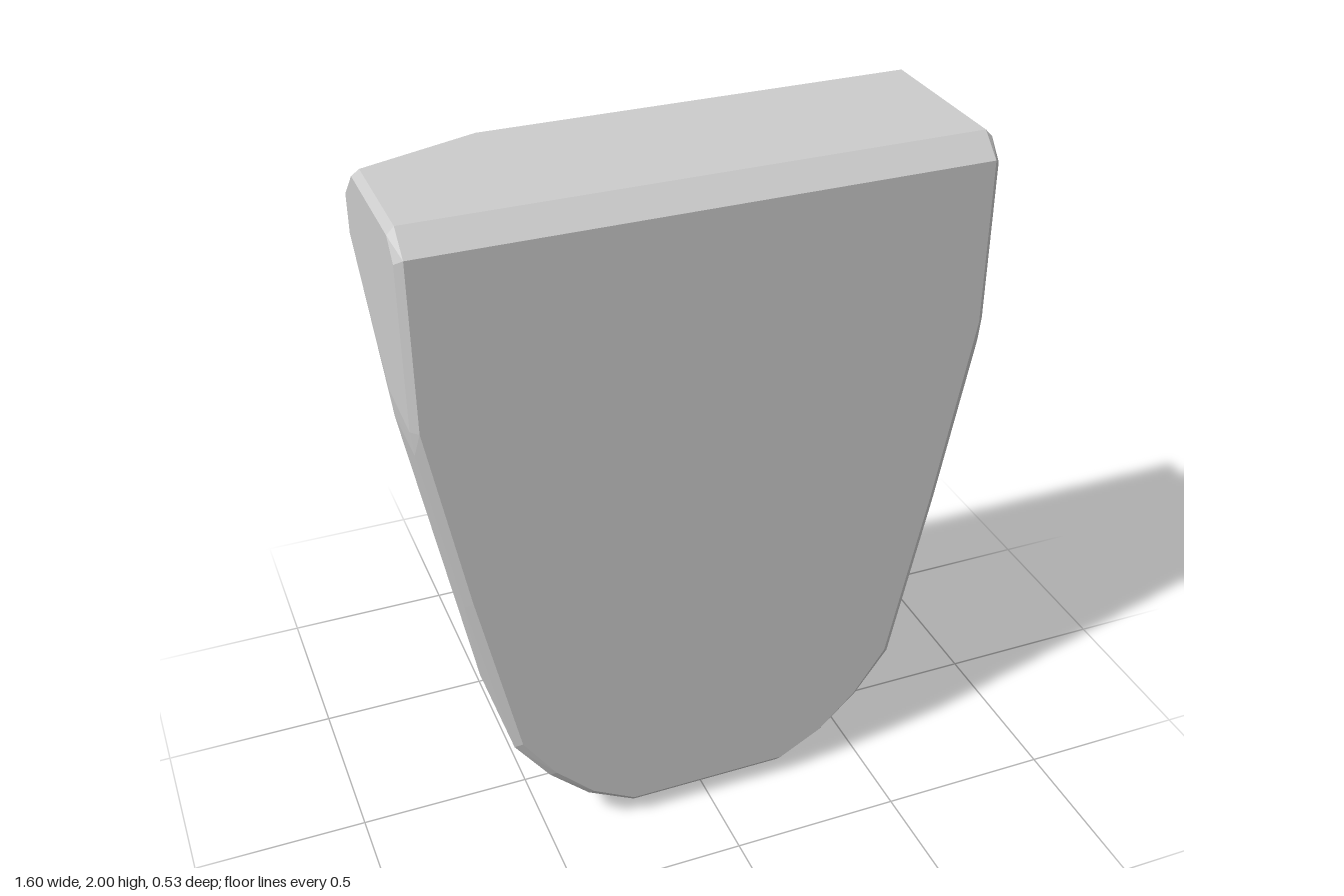
import * as THREE from 'three';
import { ConvexGeometry } from 'three/addons/geometries/ConvexGeometry.js';

export function createModel() {
  const group = new THREE.Group();
  const points = [];
  const add = (x, y, z) => points.push(new THREE.Vector3(x, y, z));
  // Half outline [x, y], mirrored onto the plane z
  const addOutline = (outline, z) => {
    for (const [x, y] of outline) for (const s of [-1, 1]) add(s * x, y, z);
  };

  // Front face, inset by the narrow bevel
  addOutline([[0.78, 1.94], [0.78, 1.47], [0.765, 1.39], [0.68, 0.92],
    [0.57, 0.39], [0.475, 0.25], [0.365, 0.14], [0.24, 0.07]], 0.265);

  // Outer edge of the bevel
  const rim = [[0.8, 1.47], [0.793, 1.4], [0.7, 0.9], [0.59, 0.37],
    [0.49, 0.23], [0.375, 0.12], [0.235, 0.045]];
  addOutline([[0.8, 1.925], ...rim], 0.245);

  // Rounded lower edge, where the tapered back begins
  addOutline([[0.8, 1.48], [0.793, 1.4], [0.625, 0.49], [0.59, 0.37],
    [0.49, 0.23], [0.375, 0.12], [0.235, 0.045], [0.08, 0]], 0.045);
  addOutline([[0.08, 0]], 0.16);

  // Bevelled top edge at the front
  addOutline([[0.78, 2], [0.8, 1.98]], 0.2);

  // Thick back at the top, square on the left
  add(0.78, 2, -0.265);
  add(0.8, 1.98, -0.265);
  add(0.8, 1.885, -0.265);

  // Right back corner, cut off at an angle
  add(-0.45, 2, -0.265);
  add(-0.78, 2, -0.15);
  add(-0.8, 1.98, -0.16);
  add(-0.8, 1.89, -0.265);
  add(-0.8, 1.78, -0.265);
  add(-0.6, 1.765, -0.265);

  const body = new THREE.Mesh(
    new ConvexGeometry(points),
    new THREE.MeshStandardMaterial({ color: 0xcccccc, flatShading: true })
  );
  body.name = 'taperedBlock';
  group.add(body);
  return group;
}
